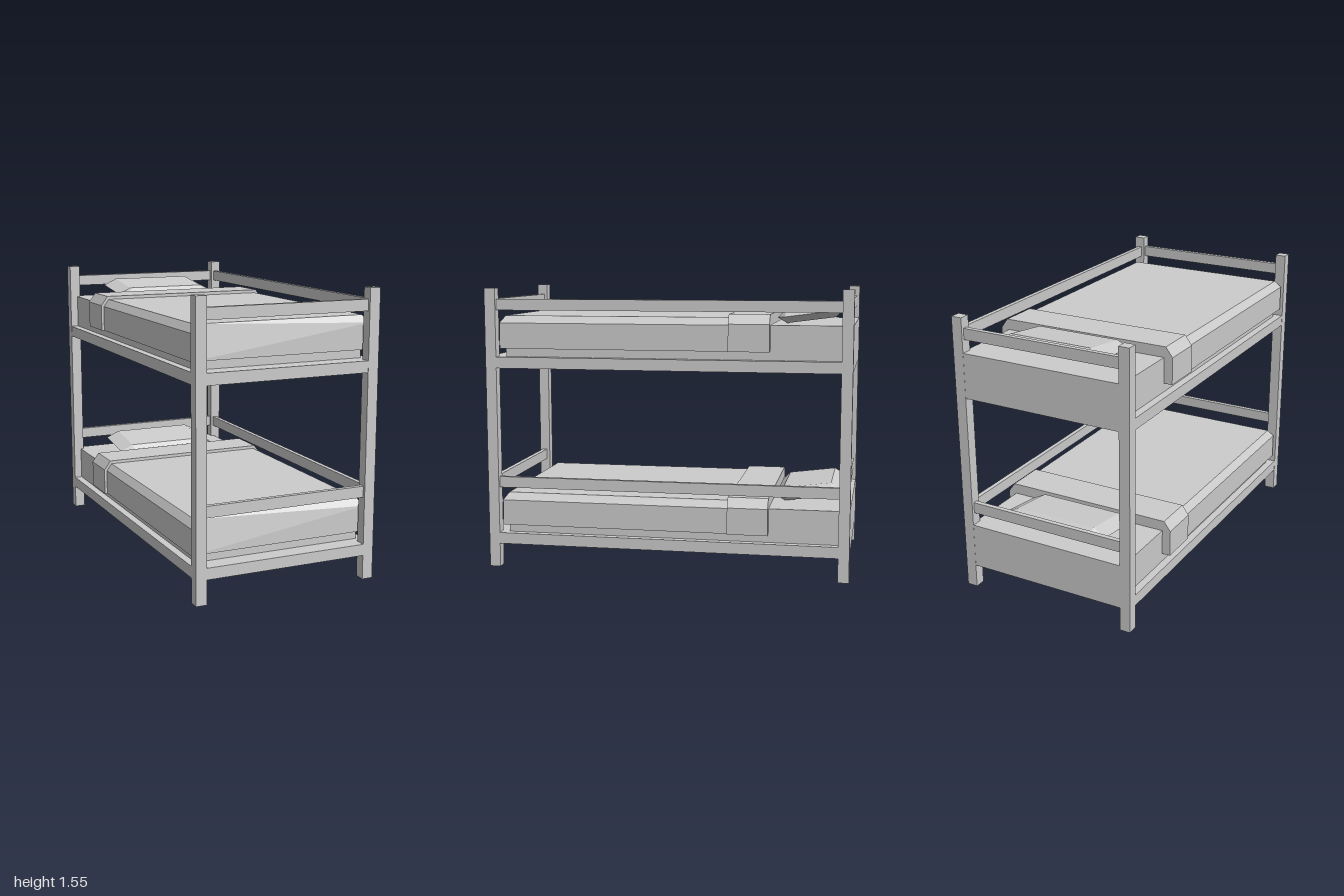
import * as THREE from 'three';
import { ConvexGeometry } from 'three/addons/geometries/ConvexGeometry.js';

const material = new THREE.MeshStandardMaterial({ color: 0xcccccc, flatShading: true });

function add(parent, name, geometry, x = 0, y = 0, z = 0) {
  const mesh = new THREE.Mesh(geometry, material);
  mesh.name = name;
  mesh.position.set(x, y, z);
  parent.add(mesh);
  return mesh;
}

// Box given by its limits on each axis
function addBox(parent, name, [x0, x1], [y0, y1], [z0, z1]) {
  const geometry = new THREE.BoxGeometry(x1 - x0, y1 - y0, z1 - z0);
  return add(parent, name, geometry, (x0 + x1) / 2, (y0 + y1) / 2, (z0 + z1) / 2);
}

// Cover with chamfered long edges; the foot end can slope back at the top
function coverGeometry(halfWidth, topHalfWidth, bottom, shoulder, top, z0, z1, footSlope = 0) {
  const shape = new THREE.Shape([
    [-halfWidth, bottom], [halfWidth, bottom], [halfWidth, shoulder],
    [topHalfWidth, top], [-topHalfWidth, top], [-halfWidth, shoulder],
  ].map(([x, y]) => new THREE.Vector2(x, y)));
  const geometry = new THREE.ExtrudeGeometry(shape, { depth: z1 - z0, bevelEnabled: false });
  geometry.translate(0, 0, z0);
  const p = geometry.attributes.position;
  for (let i = 0; i < p.count; i++) {
    if (p.getY(i) > top - 0.001 && p.getZ(i) > z1 - 0.001) p.setZ(i, z1 - footSlope);
  }
  geometry.computeVertexNormals();
  return geometry;
}

// Flat cushion: octagonal rim between two smaller rectangles
function pillowGeometry() {
  const points = [];
  for (const sx of [-1, 1]) {
    for (const sz of [-1, 1]) {
      points.push(new THREE.Vector3(sx * 0.235, 0, sz * 0.181));
      points.push(new THREE.Vector3(sx * 0.31, 0, sz * 0.133));
      for (const y of [-0.037, 0.037]) points.push(new THREE.Vector3(sx * 0.235, y, sz * 0.133));
    }
  }
  return new ConvexGeometry(points);
}

// One bunk; heights are measured from the underside of its base
function createBunk(name, y) {
  const bunk = new THREE.Group();
  bunk.name = name;
  bunk.position.y = y;

  addBox(bunk, 'base', [-0.514, 0.514], [0, 0.062], [-0.999, 0.999]);
  addBox(bunk, 'mattress', [-0.472, 0.472], [0.062, 0.248], [-0.999, 0.895]);
  add(bunk, 'blanket', coverGeometry(0.505, 0.475, 0.108, 0.248, 0.288, -0.5, 0.92, 0.028));
  add(bunk, 'foldedSheet', coverGeometry(0.52, 0.482, 0.108, 0.254, 0.306, -0.563, -0.343));

  const pillow = add(bunk, 'pillow', pillowGeometry(), 0, 0.302, -0.757);
  pillow.rotation.x = 0.13;

  // Upper rails at both ends and along the left side only
  addBox(bunk, 'footRail', [-0.455, 0.455], [0.317, 0.378], [0.958, 0.985]);
  addBox(bunk, 'headRail', [-0.455, 0.455], [0.317, 0.378], [-0.985, -0.958]);
  addBox(bunk, 'sideRail', [0.47, 0.495], [0.317, 0.378], [-0.94, 0.94]);
  return bunk;
}

export function createModel() {
  const model = new THREE.Group();
  model.name = 'bunkBed';

  // Corner posts
  for (const sx of [-1, 1]) {
    for (const sz of [-1, 1]) {
      add(model, 'post', new THREE.BoxGeometry(0.06, 1.555, 0.06), sx * 0.485, 0.7775, sz * 0.97);
    }
  }

  model.add(createBunk('lowerBunk', 0.132), createBunk('upperBunk', 1.118));
  return model;
}
